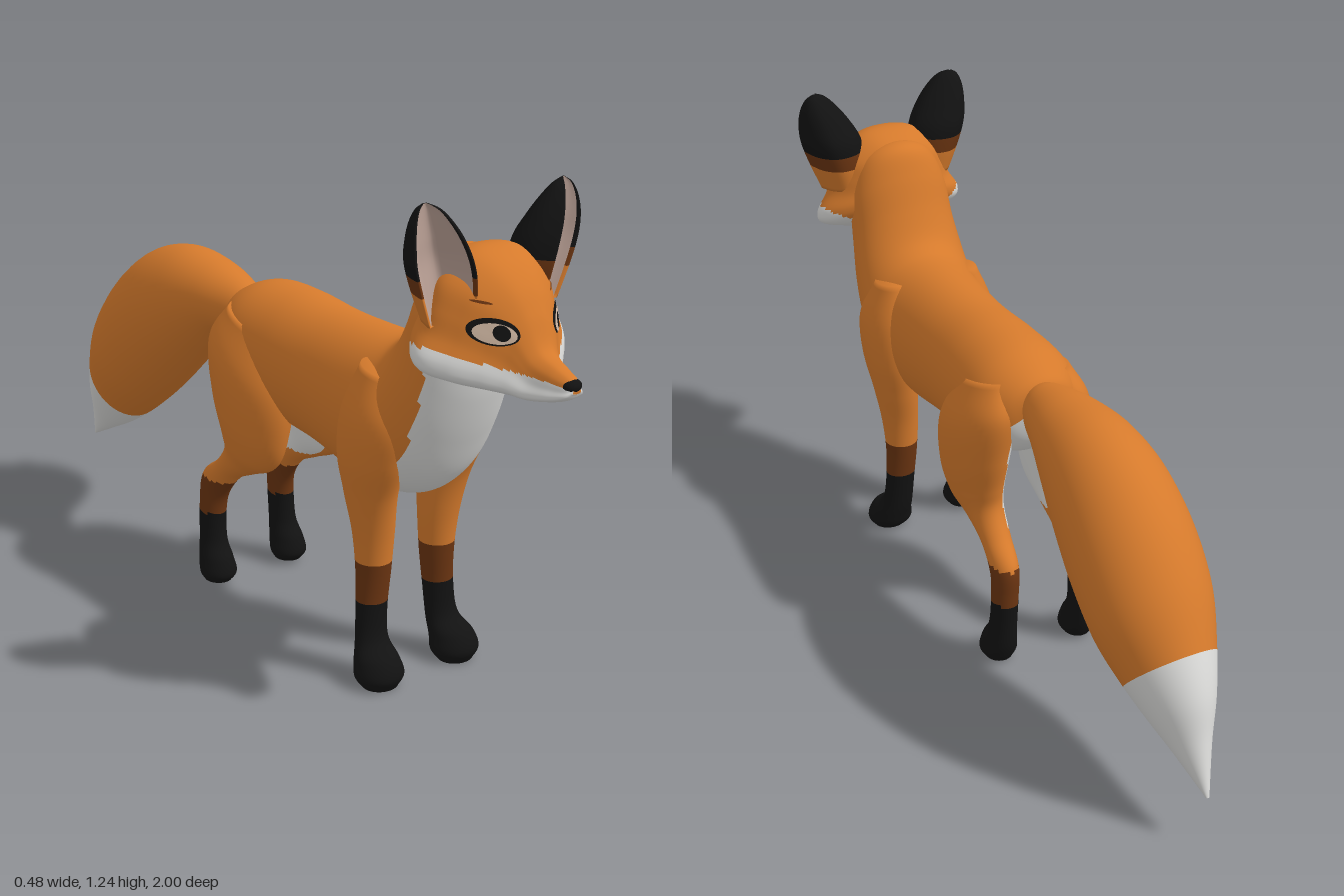
import * as THREE from 'three';

const mat = (name, color) => Object.assign(new THREE.MeshStandardMaterial({ color }), { name });
const V = (x, y, z = 0) => new THREE.Vector3(x, y, z);

// closed cross-section from half a profile of [side, up] points, mirrored left to right
function section(half, n) {
  const back = half.slice(1, -1).reverse().map(([s, t]) => [-s, t]);
  const curve = new THREE.CatmullRomCurve3([...half, ...back].map(([s, t]) => V(s, t)), true, 'catmullrom');
  return Array.from({ length: n }, (_, i) => curve.getPoint(i / n));
}
const circle = (n) => Array.from({ length: n }, (_, i) => {
  const a = (i / n) * Math.PI * 2;
  return V(Math.sin(a), -Math.cos(a));
});

// Skin over rings [topZ, topY, bottomZ, bottomY, halfWidth, centreX].
// pick(point, up, along, around) returns the material index of each face.
function loft(name, rings, sec, materials, pick, steps = 8) {
  const curve = (f) => new THREE.CatmullRomCurve3(rings.map(f), false, 'catmullrom');
  const top = curve((r) => V(0, r[1], r[0]));
  const bottom = curve((r) => V(0, r[3], r[2]));
  const width = curve((r) => V(r[4], r[5] || 0));
  const rows = (rings.length - 1) * steps, n = sec.length, pts = [];
  for (let i = 0; i <= rows; i++) {
    const k = i / rows, a = top.getPoint(k), b = bottom.getPoint(k), w = width.getPoint(k);
    for (const s of sec) {
      const p = b.clone().lerp(a, (s.y + 1) / 2);
      p.x = w.y + Math.max(w.x, 0.001) * s.x;
      pts.push(p);
    }
  }
  for (const k of [0, 1]) {
    const c = top.getPoint(k).lerp(bottom.getPoint(k), 0.5);
    c.x = width.getPoint(k).y;
    pts.push(c);
  }
  // find which way the rings run, so faces point outwards
  const axis = top.getPoint(0.5).sub(bottom.getPoint(0.5));
  const dir = top.getPoint(0.55).add(bottom.getPoint(0.55)).sub(top.getPoint(0.45)).sub(bottom.getPoint(0.45));
  const flip = axis.y * dir.z - axis.z * dir.y < 0;
  const lists = materials.map(() => []);
  const tri = (m, a, b, c) => (flip ? lists[m].push(a, c, b) : lists[m].push(a, b, c));
  for (let i = 0; i < rows; i++) {
    for (let j = 0; j < n; j++) {
      const j2 = (j + 1) % n, a = i * n + j, b = i * n + j2, c = b + n, d = a + n;
      const mid = pts[a].clone().add(pts[c]).multiplyScalar(0.5);
      const m = pick(mid, (sec[j].y + sec[j2].y) / 2, (i + 0.5) / rows, (j + 0.5) / n);
      tri(m, a, b, c);
      tri(m, a, c, d);
    }
  }
  for (let j = 0; j < n; j++) {
    const j2 = (j + 1) % n, e = rows * n;
    tri(pick(pts[e + n], 0, 0, 0), e + n, j2, j);
    tri(pick(pts[e + n + 1], 0, 1, 0), e + n + 1, e + j, e + j2);
  }
  const g = new THREE.BufferGeometry().setFromPoints(pts);
  g.setIndex(lists.flat());
  let start = 0;
  lists.forEach((l, m) => { if (l.length) g.addGroup(start, l.length, m); start += l.length; });
  g.computeVertexNormals();
  const mesh = new THREE.Mesh(g, materials);
  mesh.name = name;
  return mesh;
}

export function createModel() {
  const fox = new THREE.Group();
  fox.name = 'fox';
  const orange = mat('orange fur', 0xd57a2c), white = mat('white fur', 0xdadad8);
  const brown = mat('brown fur', 0x6a3411), black = mat('black fur', 0x121212);
  const pink = mat('inner ear', 0xbba196), eyeWhite = mat('eye', 0xd2b9a4);
  const coat = [orange, white, brown, black];

  // trunk from rump to neck, with white bib and belly
  fox.add(loft('body', [
    [-0.20, 0.78, -0.20, 0.70, 0.04], [-0.17, 0.81, -0.17, 0.62, 0.10], [-0.08, 0.845, -0.10, 0.56, 0.14],
    [0.05, 0.85, 0.05, 0.51, 0.145], [0.20, 0.84, 0.20, 0.49, 0.14], [0.35, 0.84, 0.38, 0.46, 0.147],
    [0.44, 0.845, 0.52, 0.475, 0.155], [0.48, 0.86, 0.61, 0.54, 0.157], [0.51, 0.89, 0.67, 0.65, 0.152],
    [0.54, 0.95, 0.71, 0.76, 0.142], [0.57, 1.03, 0.73, 0.85, 0.135], [0.60, 1.09, 0.75, 0.90, 0.12],
    [0.64, 1.105, 0.74, 0.95, 0.10], [0.68, 1.09, 0.74, 1.0, 0.05],
  ], circle(72), coat, (p, t) => {
    if (p.z > 0.44) {
      const bib = 0.13 * Math.sqrt(Math.max(0, 1 - Math.max(0, (0.6 - p.y) / 0.14) ** 2));
      return t < -0.35 && Math.abs(p.x) < bib ? 1 : 0;
    }
    return t < (p.z < -0.08 ? -0.35 : -0.84) ? 1 : 0;
  }));

  // bushy tail with white tip
  fox.add(loft('tail', [
    [-0.17, 0.79, -0.19, 0.68, 0.05], [-0.22, 0.81, -0.23, 0.66, 0.07], [-0.33, 0.835, -0.29, 0.645, 0.095],
    [-0.47, 0.845, -0.37, 0.58, 0.122], [-0.60, 0.81, -0.46, 0.50, 0.143], [-0.72, 0.725, -0.55, 0.42, 0.152],
    [-0.82, 0.61, -0.64, 0.345, 0.145], [-0.89, 0.49, -0.72, 0.285, 0.115], [-0.94, 0.38, -0.80, 0.235, 0.08],
    [-0.965, 0.27, -0.88, 0.195, 0.045], [-1.0, 0.14, -0.997, 0.138, 0.004],
  ], circle(48), coat, (p, t, k) => (k > 0.71 ? 1 : 0)));

  // head with flared cheeks and tapering muzzle
  const headSection = section([[0, -1], [0.4, -0.95], [0.92, -0.76], [1, -0.5], [0.86, -0.15],
    [0.78, 0.2], [0.65, 0.6], [0.35, 0.92], [0, 1]], 96);
  const head = loft('head', [
    [0.60, 1.07, 0.60, 0.93, 0.08], [0.66, 1.11, 0.66, 0.87, 0.17], [0.72, 1.122, 0.72, 0.838, 0.205],
    [0.78, 1.10, 0.78, 0.825, 0.172], [0.83, 1.055, 0.83, 0.82, 0.122], [0.865, 1.0, 0.865, 0.818, 0.085],
    [0.90, 0.932, 0.90, 0.818, 0.06], [0.95, 0.905, 0.95, 0.83, 0.042], [0.985, 0.89, 0.985, 0.845, 0.028],
    [0.997, 0.878, 0.997, 0.86, 0.012],
  ], headSection, coat, (p) => (p.y < 0.867 + 0.31 * Math.abs(p.x) ? 1 : 0), 10);
  fox.add(head);

  const nose = new THREE.Mesh(new THREE.SphereGeometry(1, 24, 16), black);
  nose.name = 'nose';
  nose.scale.set(0.024, 0.016, 0.02);
  nose.position.set(0, 0.874, 0.98);
  fox.add(nose);

  // thin oval laid on the face
  const ray = new THREE.Raycaster();
  function facePlate(name, material, x, y, rx, ry, tilt, lift) {
    const g = new THREE.RingGeometry(0, 1, 28, 5), pos = g.attributes.position;
    for (let i = 0; i < pos.count; i++) {
      const u = pos.getX(i) * rx, v = pos.getY(i) * ry;
      const px = x + u * Math.cos(tilt) - v * Math.sin(tilt), py = y + u * Math.sin(tilt) + v * Math.cos(tilt);
      ray.set(V(px, py, 2), V(0, 0, -1));
      const hit = ray.intersectObject(head)[0];
      pos.setXYZ(i, px, py, (hit ? hit.point.z : 0.8) + lift);
    }
    g.computeVertexNormals();
    const mesh = new THREE.Mesh(g, material);
    mesh.name = name;
    fox.add(mesh);
  }

  const earSection = section([[0, -1], [0.7, -0.75], [1, -0.1], [0.93, 0.7], [0.82, 0.85], [0.6, 0.35], [0, -0.25]], 72);
  const sock = (y) => (y < 0.2 ? 3 : y < 0.3 ? 2 : 0);

  for (const side of [1, -1]) {
    const label = side > 0 ? 'left' : 'right';
    const place = (rings) => rings.map(([a, b, c, d, w, x]) => [a, b, c, d, w, x * side]);

    facePlate(label + 'EyeRim', black, side * 0.09, 0.97, 0.042, 0.029, side * 0.12, 0.003);
    facePlate(label + 'Eye', eyeWhite, side * 0.09, 0.967, 0.035, 0.022, side * 0.12, 0.006);
    facePlate(label + 'Pupil', black, side * 0.081, 0.969, 0.014, 0.017, 0, 0.009);
    facePlate(label + 'Brow', brown, side * 0.10, 1.03, 0.018, 0.003, side * 0.2, 0.003);

    // cupped ear, turned outwards
    const ear = loft(label + 'Ear', place([
      [0.045, -0.06, -0.06, -0.05, 0.055, 0], [0.065, 0.02, -0.065, 0.02, 0.07, 0.012],
      [0.075, 0.08, -0.06, 0.08, 0.073, 0.025], [0.075, 0.13, -0.035, 0.13, 0.063, 0.037],
      [0.066, 0.17, -0.01, 0.17, 0.047, 0.048], [0.052, 0.198, 0.012, 0.198, 0.028, 0.056],
      [0.036, 0.212, 0.03, 0.212, 0.006, 0.062],
    ]), earSection, [...coat, pink], (p, t, k, q) => {
      if (q > 0.36 && q < 0.64) return 4;
      return p.y > 0.05 ? 3 : p.y > 0.01 ? 2 : 0;
    });
    ear.position.set(side * 0.125, 1.03, 0.725);
    ear.rotation.y = side * 0.45;
    fox.add(ear);

    // front leg from shoulder to paw
    fox.add(loft(label + 'FrontLeg', place([
      [0.54, 0.78, 0.42, 0.80, 0.04, 0.10], [0.585, 0.68, 0.38, 0.69, 0.066, 0.115],
      [0.568, 0.58, 0.37, 0.58, 0.066, 0.119], [0.53, 0.48, 0.385, 0.48, 0.058, 0.11],
      [0.51, 0.38, 0.405, 0.38, 0.05, 0.10], [0.50, 0.28, 0.415, 0.28, 0.043, 0.098],
      [0.495, 0.18, 0.425, 0.18, 0.04, 0.104], [0.505, 0.11, 0.435, 0.10, 0.043, 0.11],
      [0.55, 0.075, 0.445, 0.055, 0.055, 0.117], [0.568, 0.035, 0.455, 0.025, 0.062, 0.118],
      [0.555, 0.003, 0.475, 0.003, 0.045, 0.118],
    ]), circle(40), coat, (p) => sock(p.y)));

    // hind leg with thigh, hock and paw
    fox.add(loft(label + 'HindLeg', place([
      [0.06, 0.74, -0.14, 0.79, 0.05, 0.08], [0.11, 0.60, -0.185, 0.71, 0.08, 0.10],
      [0.10, 0.48, -0.163, 0.58, 0.074, 0.108], [0.06, 0.40, -0.135, 0.48, 0.06, 0.105],
      [-0.02, 0.36, -0.13, 0.42, 0.046, 0.10], [-0.10, 0.32, -0.17, 0.36, 0.038, 0.10],
      [-0.15, 0.26, -0.235, 0.305, 0.035, 0.105], [-0.165, 0.20, -0.243, 0.22, 0.034, 0.11],
      [-0.16, 0.12, -0.24, 0.13, 0.035, 0.113], [-0.135, 0.075, -0.235, 0.07, 0.043, 0.115],
      [-0.125, 0.035, -0.225, 0.035, 0.048, 0.115], [-0.14, 0.012, -0.215, 0.012, 0.035, 0.115],
    ]), circle(40), coat, (p) => (p.y > 0.37 && p.x * side < 0.07 ? 1 : sock(p.y))));
  }
  return fox;
}
